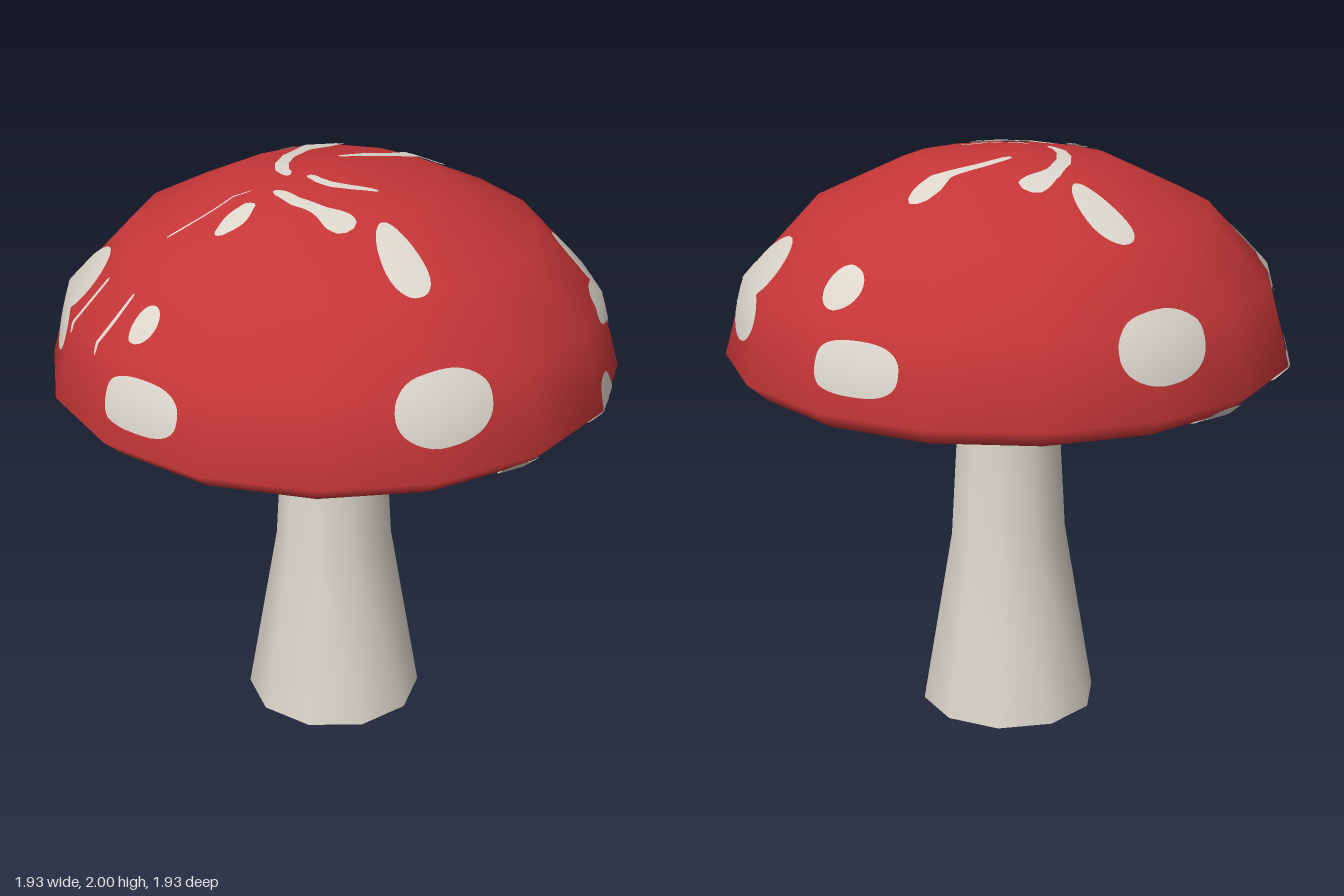
import * as THREE from 'three';
import { mergeVertices } from 'three/addons/utils/BufferGeometryUtils.js';

const RAD = Math.PI / 180, R = 0.965, RIM_Y = 1.31, BASE_Y = 1.245, STEP = 22.5;

// Cap profile, ring by ring from the crown (0) to the middle of the flat underside (8)
const rings = [];
for (let i = 0; i <= 8; i++) {
  const t = i * STEP * RAD;
  rings.push({ r: i === 8 ? 0 : R * Math.sin(t), y: i <= 4 ? RIM_Y + 0.69 * Math.cos(t) : BASE_Y });
}
rings.forEach((ring, i) => {
  const p = rings[i - 1], n = rings[i + 1];
  ring.n = !p ? new THREE.Vector2(0, 1) : !n ? new THREE.Vector2(0, -1)
    : new THREE.Vector2(p.y - n.y, n.r - p.r).normalize();
});

// Point and normal just above the faceted cap; a = degrees round from the front, t = degrees from the crown
function onCap(a, t) {
  const k = Math.min(7, Math.max(0, Math.floor(t / STEP))), f = t / STEP - k;
  const lo = rings[k], hi = rings[k + 1];
  const j = Math.floor(a / STEP), g = a / STEP - j;
  const a0 = j * STEP * RAD, a1 = (j + 1) * STEP * RAD;
  const s = THREE.MathUtils.lerp(Math.sin(a0), Math.sin(a1), g);
  const c = THREE.MathUtils.lerp(Math.cos(a0), Math.cos(a1), g);
  const r = THREE.MathUtils.lerp(lo.r, hi.r, f);
  const n2 = lo.n.clone().lerp(hi.n, f);
  const normal = new THREE.Vector3(n2.x * s, n2.y, n2.x * c).normalize();
  const point = new THREE.Vector3(r * s, THREE.MathUtils.lerp(lo.y, hi.y, f), r * c).addScaledVector(normal, 0.006);
  return { point, normal };
}

// Grid whose corners are laid on the cap by rule(u, v) -> [a, t]
function patch(cols, rows, rule) {
  const geo = new THREE.PlaneGeometry(1, 1, cols, rows);
  const { position, normal, uv } = geo.attributes;
  for (let i = 0; i < position.count; i++) {
    const s = onCap(...rule(uv.getX(i), uv.getY(i)));
    position.setXYZ(i, s.point.x, s.point.y, s.point.z);
    normal.setXYZ(i, s.normal.x, s.normal.y, s.normal.z);
  }
  return geo;
}

// Rounded spot: centre and half sizes in degrees; power above 2 squares it off
function spot(a, t, ha, ht, power = 2) {
  const soft = (v) => Math.sign(v) * Math.pow(Math.abs(v), 2 / power);
  return patch(40, 8, (u, v) => {
    const q = -u * Math.PI * 2;
    return [a + ha * v * soft(Math.cos(q)), t - ht * v * soft(Math.sin(q))];
  });
}

// Streak along plan points [x, z, width], on the crown or the underside
function streak(points, under = false) {
  const curve = new THREE.CatmullRomCurve3(points.map(([x, z, w]) => new THREE.Vector3(x, w, z)));
  const side = under ? -1 : 1;
  return patch(40, 4, (u, v) => {
    const p = curve.getPoint(u), d = curve.getTangent(u);
    const len = Math.hypot(d.x, d.z) || 1;
    const round = Math.sqrt(Math.min(1, 0.15 + 12 * Math.min(u, 1 - u)));
    const w = side * (v - 0.5) * p.y * round / len;
    const x = p.x + d.z * w, z = p.z - d.x * w;
    const t = Math.asin(Math.min(1, Math.hypot(x, z) / R)) / RAD;
    return [Math.atan2(x, z) / RAD, under ? 180 - t : t];
  });
}

const polar = (list) => list.map(([a, r, w]) => [r * Math.sin(a * RAD), r * Math.cos(a * RAD), w]);

// Turned part with smooth shared normals
function turned(profile, sides) {
  const geo = new THREE.LatheGeometry(profile.map(([r, y]) => new THREE.Vector2(r, y)), sides);
  geo.deleteAttribute('uv');
  geo.deleteAttribute('normal');
  const merged = mergeVertices(geo, 1e-4);
  merged.computeVertexNormals();
  return merged;
}

export function createModel() {
  const red = new THREE.MeshStandardMaterial({ color: 0xc63638 });
  red.name = 'capRed';
  const cream = new THREE.MeshStandardMaterial({ color: 0xdcd6cb, side: THREE.DoubleSide });
  cream.name = 'cream';

  const model = new THREE.Group();
  model.name = 'mushroom';
  const add = (parent, name, geo, mat) => {
    const mesh = new THREE.Mesh(geo, mat);
    mesh.name = name;
    parent.add(mesh);
  };

  // Open stem and domed cap
  add(model, 'stem', turned([[0.31, 0], [0.204, 0.63], [0.173, 1.175]], 10), cream);
  add(model, 'cap', turned(rings.map(({ r, y }) => [r, y]).reverse(), 16), red);

  // Spots repeat on opposite halves of the cap
  const spots = new THREE.Group();
  spots.name = 'spots';
  model.add(spots);
  for (const turn of [0, 180]) {
    add(spots, 'ovalSpot', spot(3 + turn, 72, 10.5, 9.5, 2.3), cream);
    add(spots, 'upperSpot', spot(3.3 + turn, 35, 7, 10.5, 2.2), cream);
    add(spots, 'clusterSideLobe', spot(66 + turn, 69, 8, 6), cream);
    add(spots, 'clusterUpperLobe', spot(76 + turn, 61.5, 9, 9.5), cream);
    add(spots, 'clusterLowerLobe', spot(77 + turn, 74, 9, 8), cream);
    if (turn) add(spots, 'smallSpot', spot(294, 58, 3.5, 5), cream);
    else add(spots, 'smallSpot', spot(111, 58, 5.5, 6), cream);
    add(spots, 'wideSpot', spot(120 + turn, 77.5, 9.5, 7, 2.6), cream);
    add(spots, 'rimSpot', spot(51 + turn, 97, 6.5, 14, 2.8), cream);
    add(spots, 'lowRimSpot', spot(21 + turn, 108, 5, 9, 2.4), cream);
  }

  // Streaks curling round the crown, with fine lines down one side
  const crown = new THREE.Group();
  crown.name = 'crownStreaks';
  model.add(crown);
  [
    [[0.15, -0.39, 0.08], [0.1, -0.36, 0.1], [0, -0.3, 0.06], [-0.1, -0.2, 0.05], [-0.155, -0.09, 0.045], [-0.16, 0, 0.035]],
    [[0.47, -0.21, 0.06], [0.4, -0.175, 0.1], [0.3, -0.145, 0.06], [0.18, -0.14, 0.04], [0.06, -0.125, 0.03]],
    [[-0.09, 0.415, 0.07], [-0.11, 0.36, 0.1], [-0.155, 0.27, 0.055], [-0.2, 0.19, 0.05], [-0.235, 0.09, 0.035]],
    [[-0.105, 0.04, 0.025], [-0.06, 0.13, 0.035], [0.08, 0.215, 0.02]],
    [[-0.47, 0.21, 0.03], [-0.4, 0.18, 0.085], [-0.32, 0.14, 0.035]],
    [[-0.6, 0.065, 0.01], [-0.45, 0.065, 0.008], [-0.3, 0.045, 0.006]],
    [[-0.91, 0.015, 0.014], [-0.84, 0.015, 0.014], [-0.78, 0.015, 0.012]],
    [[-0.89, 0.2, 0.014], [-0.83, 0.2, 0.018], [-0.75, 0.19, 0.012]],
  ].forEach((points) => add(crown, 'crownStreak', streak(points), cream));

  // Streaks running in from the rim across the underside
  const below = new THREE.Group();
  below.name = 'undersideStreaks';
  model.add(below);
  [
    [[50, 0.92, 0.13], [48, 0.6, 0.07], [46, 0.37, 0.04], [17, 0.19, 0.03]],
    [[21, 0.92, 0.13], [22, 0.6, 0.08], [21, 0.37, 0.05], [-5, 0.24, 0.03]],
    [[197, 0.92, 0.1], [195, 0.83, 0.11], [195, 0.6, 0.07], [194, 0.41, 0.05], [215, 0.3, 0.035], [246, 0.25, 0.03]],
    [[229, 0.92, 0.11], [227, 0.6, 0.06], [225, 0.37, 0.03]],
  ].forEach((points) => add(below, 'undersideStreak', streak(polar(points), true), cream));

  return model;
}
